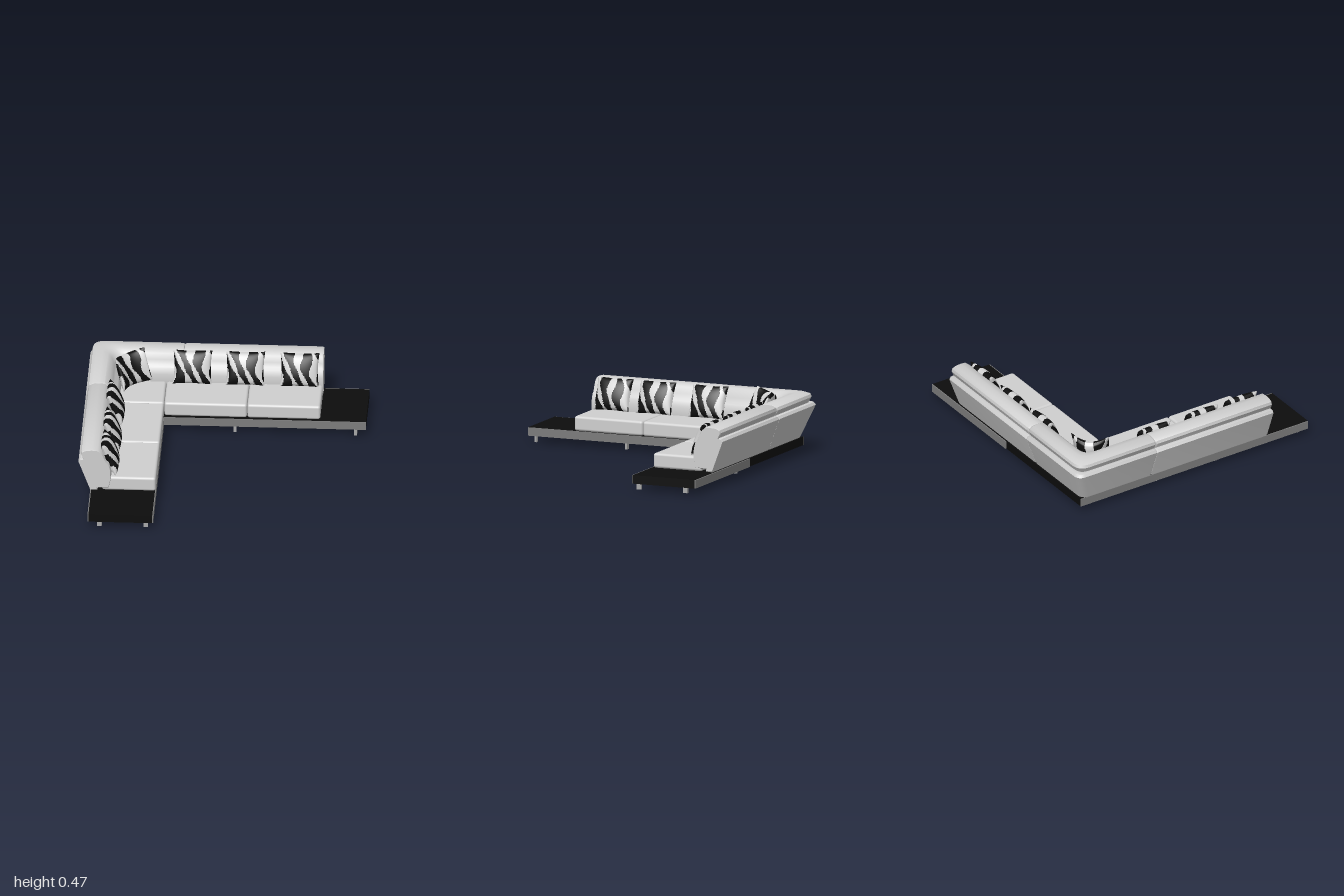
import * as THREE from 'three';
import { toCreasedNormals } from 'three/addons/utils/BufferGeometryUtils.js';
import { RoundedBoxGeometry } from 'three/addons/geometries/RoundedBoxGeometry.js';

const material = (name, color) => Object.assign(new THREE.MeshStandardMaterial({ color }), { name });

// Sections of the L-shaped path: each maps a distance outward to [x, z].
const onBackArm = a => o => [a, -o];
const onSideArm = a => o => [-o, a];
const onCorner = (t, c) => o => {
  const p = (1 - t) ** 2, q = t * t;
  return [-o + c * p, -o + c * q];
};

// Sweeps a closed profile of [outward, height] points, with softened closed ends.
function sweep(profile, sections) {
  const n = profile.length;
  const co = profile.reduce((s, p) => s + p[0], 0) / n;
  const cy = profile.reduce((s, p) => s + p[1], 0) / n;
  const last = sections.length - 1;
  const rings = [[sections[0], 0], [sections[0], 0.95]];
  for (let k = 1; k < last; k++) rings.push([sections[k], 1]);
  rings.push([sections[last], 0.95], [sections[last], 0]);
  const pos = [], index = [];
  for (const [at, s] of rings) {
    for (const [o, y] of profile) {
      const [x, z] = at(co + (o - co) * s);
      pos.push(x, cy + (y - cy) * s, z);
    }
  }
  for (let k = 0; k < rings.length - 1; k++) {
    for (let i = 0; i < n; i++) {
      const j = (i + 1) % n, a = k * n, b = a + n;
      index.push(a + i, a + j, b + j, a + i, b + j, b + i);
    }
  }
  const g = new THREE.BufferGeometry();
  g.setAttribute('position', new THREE.Float32BufferAttribute(pos, 3));
  g.setIndex(index);
  return toCreasedNormals(g, 0.7);
}

// Plump cushion with pinched sides; cells are sorted into dark and pale stripes.
function pillowGeometry(seed, bend) {
  const NU = 48, NV = 36, W = 0.137, H = 0.12, T = 0.05;
  const pos = [], dark = [], pale = [];
  for (const side of [1, -1]) {
    const base = pos.length / 3;
    for (let j = 0; j <= NV; j++) {
      for (let i = 0; i <= NU; i++) {
        const u = (i / NU) * 2 - 1, v = (j / NV) * 2 - 1;
        const puff = Math.pow((1 - u * u) * (1 - v * v), 0.45);
        pos.push(W * u * (1 - 0.07 * (1 - v * v)), H * v * (1 - 0.05 * (1 - u * u)),
          side * T * puff + bend * u * u);
      }
    }
    for (let j = 0; j < NV; j++) {
      for (let i = 0; i < NU; i++) {
        const u = (i / NU) * 2 - 1, v = (j / NV) * 2 - 1;
        const wave = Math.sin(9 * u + 2.2 * v + 1.3 * Math.sin(2.6 * v + 2 * u + seed) + seed * 0.5);
        const list = wave > 0.25 + 0.45 * Math.sin(3 * v - 4 * u + seed) ? pale : dark;
        const a = base + j * (NU + 1) + i, b = a + 1, c = a + NU + 1, d = c + 1;
        if (side > 0) list.push(a, b, d, a, d, c);
        else list.push(a, d, b, a, c, d);
      }
    }
  }
  const g = new THREE.BufferGeometry();
  g.setAttribute('position', new THREE.Float32BufferAttribute(pos, 3));
  g.setIndex([...dark, ...pale]);
  g.addGroup(0, dark.length, 0);
  g.addGroup(dark.length, pale.length, 1);
  g.computeVertexNormals();
  return g;
}

export function createModel() {
  const model = new THREE.Group();
  model.name = 'cornerSofa';
  const upholstery = material('light grey upholstery', 0xd0d0d0);
  const black = material('black lacquer', 0x0d0d0d);
  const trim = material('grey trim', 0x7c7c7c);
  const metal = material('leg metal', 0xa8a8a8);
  const stripe = material('pale stripe', 0xd4d4d4);

  const add = (name, geometry, mat) => {
    const mesh = new THREE.Mesh(geometry, mat);
    mesh.name = name;
    model.add(mesh);
    return mesh;
  };
  const block = (name, mat, x0, x1, y0, y1, z0, z1, r = 0) => {
    const size = [x1 - x0, y1 - y0, z1 - z0];
    const g = r ? new RoundedBoxGeometry(...size, 3, r) : new THREE.BoxGeometry(...size);
    add(name, g, mat).position.set((x0 + x1) / 2, (y0 + y1) / 2, (z0 + z1) / 2);
  };

  // Platform and its grey edge strips
  block('backPlatform', black, -0.895, 0.972, 0.05, 0.11, -0.91, -0.436);
  block('sidePlatform', black, -0.895, -0.448, 0.05, 0.11, -0.436, 1);
  block('frontTrim', trim, -0.441, 0.972, 0.05, 0.109, -0.436, -0.429);
  block('innerTrim', trim, -0.448, -0.441, 0.05, 0.109, -0.429, 0.999);
  block('outerTrim', trim, -0.902, -0.895, 0.05, 0.109, -0.91, 0.999);
  block('backTrim', trim, 0.04, 0.972, 0.05, 0.109, -0.917, -0.91);

  // Flat legs in pairs along both arms
  for (const x of [0.055, 0.9]) {
    for (const z of [-0.81, -0.455]) block('leg', metal, x - 0.01, x + 0.01, 0, 0.05, z - 0.016, z + 0.016);
  }
  for (const z of [-0.23, 0.265, 0.96]) {
    for (const x of [-0.82, -0.495]) block('leg', metal, x - 0.016, x + 0.016, 0, 0.05, z - 0.008, z + 0.008);
  }

  // Seat cushions
  const seat = (x0, x1, z0, z1) => block('seatCushion', upholstery, x0, x1, 0.11, 0.215, z0, z1, 0.018);
  seat(-0.82, -0.443, -0.82, -0.452);
  seat(-0.82, -0.443, -0.45, 0.122);
  seat(-0.82, -0.443, 0.124, 0.648);
  seat(-0.441, 0.138, -0.82, -0.448);
  seat(0.14, 0.652, -0.82, -0.448);

  // Leaning backrest cushions and the lower shell panels behind them
  const cushion = [[0.77, 0.13], [0.755, 0.2], [0.758, 0.27], [0.772, 0.318], [0.792, 0.333], [0.802, 0.365],
    [0.822, 0.405], [0.85, 0.428], [0.89, 0.432], [0.935, 0.428], [0.962, 0.415], [0.968, 0.395], [0.952, 0.36], [0.86, 0.125]];
  const panel = [[0.85, 0.11], [0.935, 0.35], [0.95, 0.357], [0.972, 0.353], [0.984, 0.335], [0.9, 0.11]];
  const e = 0.012, seam = -0.32, end = 0.655;
  for (const [name, profile, c] of [['backCushion', cushion, 0.09], ['backPanel', panel, 0.06]]) {
    const corner = [onBackArm(seam - 0.002), onBackArm(seam - e)];
    for (let k = 0; k <= 6; k++) corner.push(onCorner(k / 6, c));
    corner.push(onSideArm(seam - e), onSideArm(seam - 0.002));
    add(name + 'Corner', sweep(profile, corner), upholstery);
    const stops = [end, end - e, seam + e, seam];
    add(name + 'Back', sweep(profile, stops.map(onBackArm)), upholstery);
    add(name + 'Side', sweep(profile, stops.slice().reverse().map(onSideArm)), upholstery);
  }

  // Striped throw pillows leaning on the backrest
  const pillow = (x, z, turn, seed, bend = 0) => {
    const mesh = add('stripedPillow', pillowGeometry(seed, bend), [black, stripe]);
    mesh.position.set(x, 0.328, z);
    mesh.rotation.set(-0.4, turn, 0, 'YXZ');
  };
  [-0.26, 0.11, 0.49].forEach((x, i) => pillow(x, -0.775, 0, 1 + i * 0.3));
  [-0.235, 0.165, 0.492].forEach((z, i) => pillow(-0.77, z, Math.PI / 2, 2 + i * 0.3));
  pillow(-0.71, -0.71, Math.PI / 4, 1.5, 0.07);

  return model;
}
